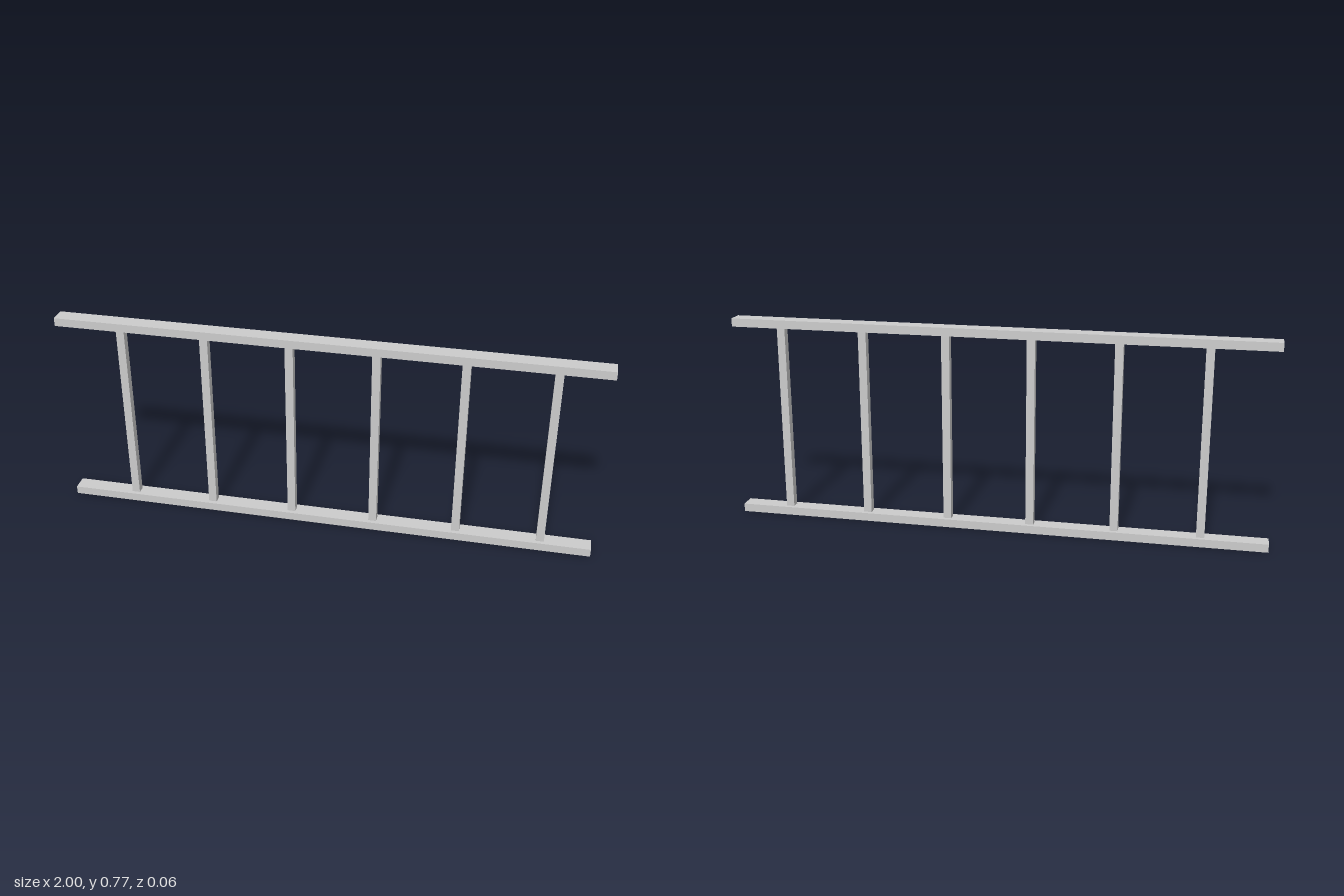
import * as THREE from 'three';

export function createModel() {
  const group = new THREE.Group();
  const material = new THREE.MeshStandardMaterial({ color: 0xcccccc, flatShading: true });
  const height = 0.767, railHeight = 0.031, railDepth = 0.06;
  const rungSize = 0.03, rungCount = 6, firstRungX = -0.757, rungSpacing = 0.3142;

  const addBox = (name, w, h, d, x, y) => {
    const mesh = new THREE.Mesh(new THREE.BoxGeometry(w, h, d), material);
    mesh.name = name;
    mesh.position.set(x, y, 0);
    group.add(mesh);
  };

  // Long horizontal rails
  addBox('bottomRail', 2, railHeight, railDepth, 0, railHeight / 2);
  addBox('topRail', 2, railHeight, railDepth, 0, height - railHeight / 2);

  // Evenly spaced square uprights, set slightly off centre along the rails
  for (let i = 0; i < rungCount; i++) {
    addBox(`upright${i + 1}`, rungSize, height - 2 * railHeight, rungSize,
      firstRungX + i * rungSpacing, height / 2);
  }

  return group;
}
